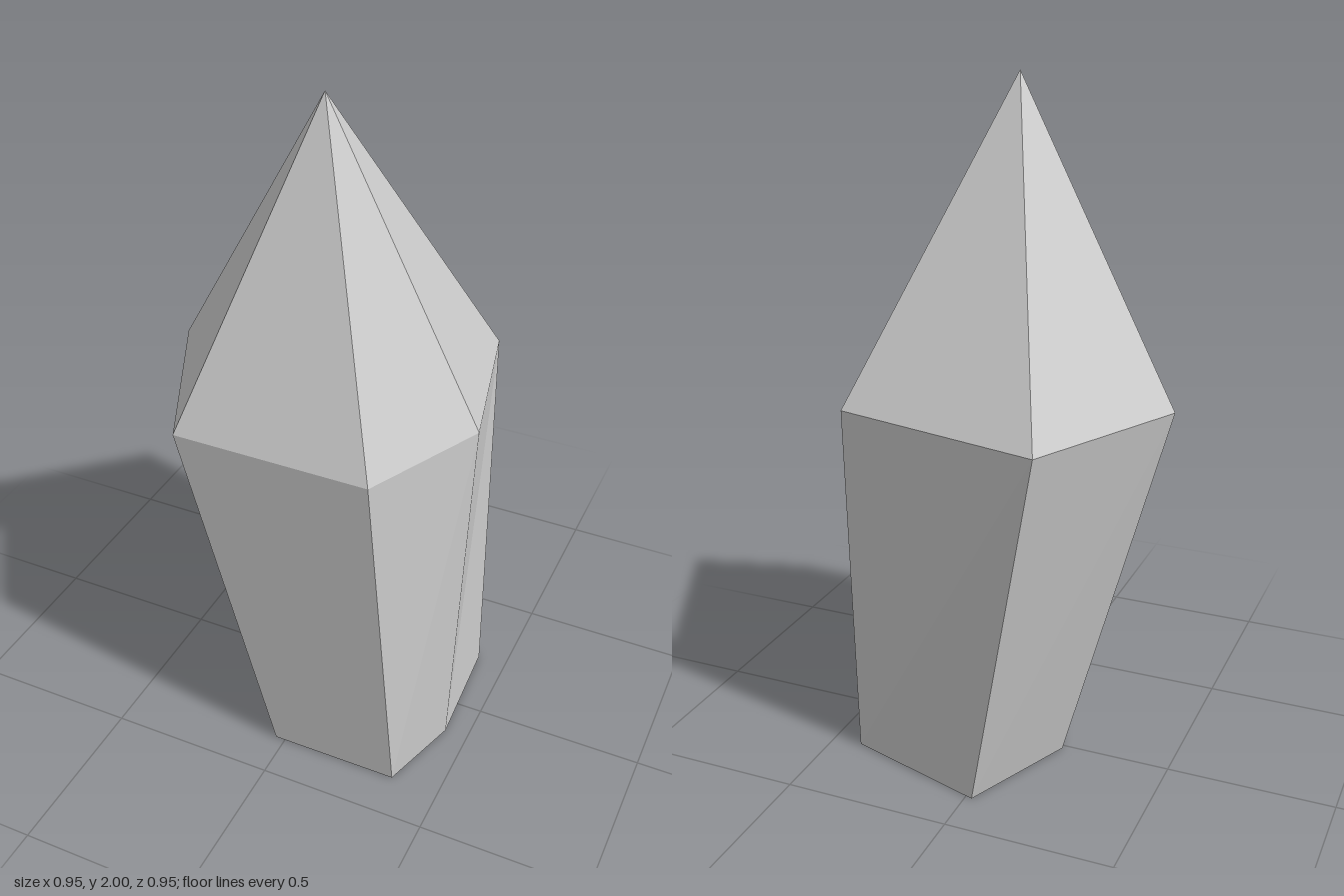
import * as THREE from 'three';

// Build a flat-shaded mesh from triangles given as corner triples
function facetedMesh(name, triangles) {
  const geometry = new THREE.BufferGeometry();
  geometry.setAttribute('position', new THREE.Float32BufferAttribute(triangles.flat(2), 3));
  geometry.computeVertexNormals();
  const mesh = new THREE.Mesh(
    geometry,
    new THREE.MeshStandardMaterial({ color: 0xcccccc, flatShading: true })
  );
  mesh.name = name;
  return mesh;
}

export function createModel() {
  const group = new THREE.Group();
  group.name = 'crystal';

  // Irregular six-sided outlines as [x, z], clockwise seen from above
  const atHeight = (outline, y) => outline.map(([x, z]) => [x, y, z]);
  const base = atHeight(
    [[-0.02, -0.36], [0.41, -0.23], [0.43, 0.12], [0.355, 0.365], [-0.03, 0.365], [-0.17, -0.015]], 0);
  const shoulder = atHeight(
    [[-0.25, -0.475], [0.365, -0.34], [0.475, 0.125], [0.31, 0.475], [-0.25, 0.475], [-0.48, -0.01]], 1.13);
  const apex = [0.03, 2, 0.125];

  const shaft = [], tip = [], bottom = [];
  for (let i = 0; i < 6; i++) {
    const j = (i + 1) % 6;
    // Shaft side
    shaft.push([base[j], base[i], shoulder[i]], [base[j], shoulder[i], shoulder[j]]);
    // Pointed tip facet
    tip.push([shoulder[j], shoulder[i], apex]);
    // Underside fan
    if (i > 0 && i < 5) bottom.push([base[0], base[i], base[j]]);
  }

  group.add(facetedMesh('shaft', shaft), facetedMesh('tip', tip), facetedMesh('underside', bottom));
  return group;
}
